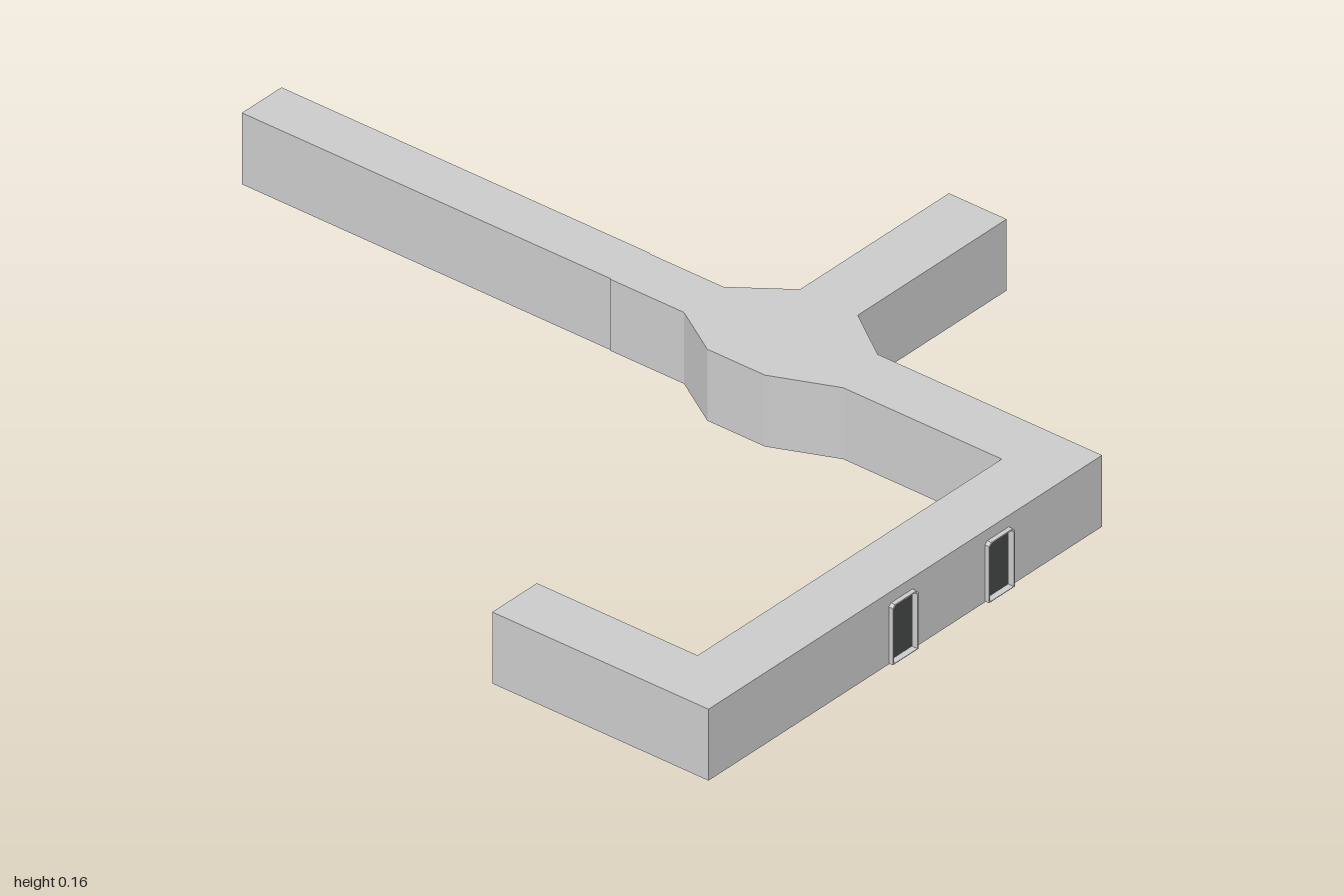
import * as THREE from 'three';

const H = 0.158; // corridor height
const DOOR_TOP = 0.133;

const mat = (color) => new THREE.MeshStandardMaterial({ color, side: THREE.DoubleSide, flatShading: true });
const grey = mat(0xcccccc);
const dark = mat(0x303332);
const green = mat(0x4f9a80);

function add(parent, name, geometry, material) {
  const mesh = new THREE.Mesh(geometry, material);
  mesh.name = name;
  parent.add(mesh);
  return mesh;
}

// Door outline with slightly cut upper corners
function doorPoints({ at, width, sill = 0.002 }, inset = 0) {
  const a = at - width / 2 + inset, b = at + width / 2 - inset;
  const lo = sill + inset / 2, hi = DOOR_TOP - inset, c = 0.006;
  return [[a, lo], [b, lo], [b, hi - c], [b - c, hi], [a + c, hi], [a, hi - c]]
    .map(([x, y]) => new THREE.Vector2(x, y));
}

// Wall panel from a to b; local +z points out of the corridor
function wall(a, b, doors = []) {
  const g = new THREE.Group();
  g.name = 'wall';
  const dx = b[0] - a[0], dz = b[1] - a[1], L = Math.hypot(dx, dz);
  g.position.set(a[0], 0, a[1]);
  g.rotation.y = -Math.atan2(dz, dx);

  const shape = new THREE.Shape([[0, 0], [L, 0], [L, H], [0, H]].map(p => new THREE.Vector2(...p)));
  for (const d of doors) shape.holes.push(new THREE.Path(doorPoints(d)));
  add(g, 'wallPanel', new THREE.ShapeGeometry(shape), grey);

  // Thin frame standing out around each doorway
  for (const d of doors) {
    const ring = new THREE.Shape(doorPoints(d));
    ring.holes.push(new THREE.Path(doorPoints(d, 0.003)));
    const frame = new THREE.ExtrudeGeometry(ring, { depth: d.depth + 0.004, bevelEnabled: false });
    add(g, 'doorFrame', frame.translate(0, 0, -0.004), grey);
  }

  // Inner trim runs between the doorways
  const stops = [0];
  for (const d of [...doors].sort((p, q) => p.at - q.at)) stops.push(d.at - d.width / 2, d.at + d.width / 2);
  stops.push(L);
  for (let i = 0; i < stops.length; i += 2) {
    const w = stops[i + 1] - stops[i], mid = (stops[i] + stops[i + 1]) / 2;
    add(g, 'wallStripe', new THREE.PlaneGeometry(w, 0.01).translate(mid, 0.05, -0.002), green);
    add(g, 'baseboard', new THREE.PlaneGeometry(w, 0.008).translate(mid, 0.01, -0.002), dark);
  }
  return g;
}

// Closed outline seen from above -> floor, roof and walls
function corridor(name, outline, openSides, doors = {}) {
  const g = new THREE.Group();
  g.name = name;
  const slab = () => new THREE.ShapeGeometry(new THREE.Shape(outline.map(p => new THREE.Vector2(...p)))).rotateX(Math.PI / 2);
  add(g, 'floor', slab(), dark);
  add(g, 'roof', slab().translate(0, H, 0), grey);
  outline.forEach((p, i) => {
    if (!openSides.includes(i)) g.add(wall(p, outline[(i + 1) % outline.length], doors[i]));
  });
  return g;
}

export function createModel() {
  const model = new THREE.Group();
  model.name = 'corridorComplex';

  // Main corridor with hub, east branch and hooked west end
  const main = [
    [0.195, -0.105], [0.195, 0.075], [0.125, 0.19], [0.125, 0.33], [0.185, 0.47],
    [0.185, 0.855], [-0.70, 0.855], [-0.70, 0.465], [-0.83, 0.465], [-0.83, 0.99],
    [0.315, 0.99], [0.315, 0.445], [0.395, 0.33], [0.828, 0.33], [0.828, 0.19],
    [0.395, 0.19], [0.31, 0.075], [0.31, -0.105],
  ];
  const door = (at, depth, width = 0.075, sill) => ({ at, depth, width, sill });
  const doors = {
    5: [0.018, -0.248, -0.523].map(x => door(0.185 - x, 0.015)),
    9: [-0.268, 0.012].map(x => door(x + 0.83, 0.01)),
    13: [door(0.067, 0.001, 0.066, 0.012)],
  };
  model.add(corridor('mainCorridor', main, [7, 17], doors));

  // Straight north corridor, closed at the far end
  const north = [[0.197, -1], [0.197, -0.105], [0.312, -0.105], [0.312, -1]];
  model.add(corridor('northCorridor', north, [1]));

  return model;
}
